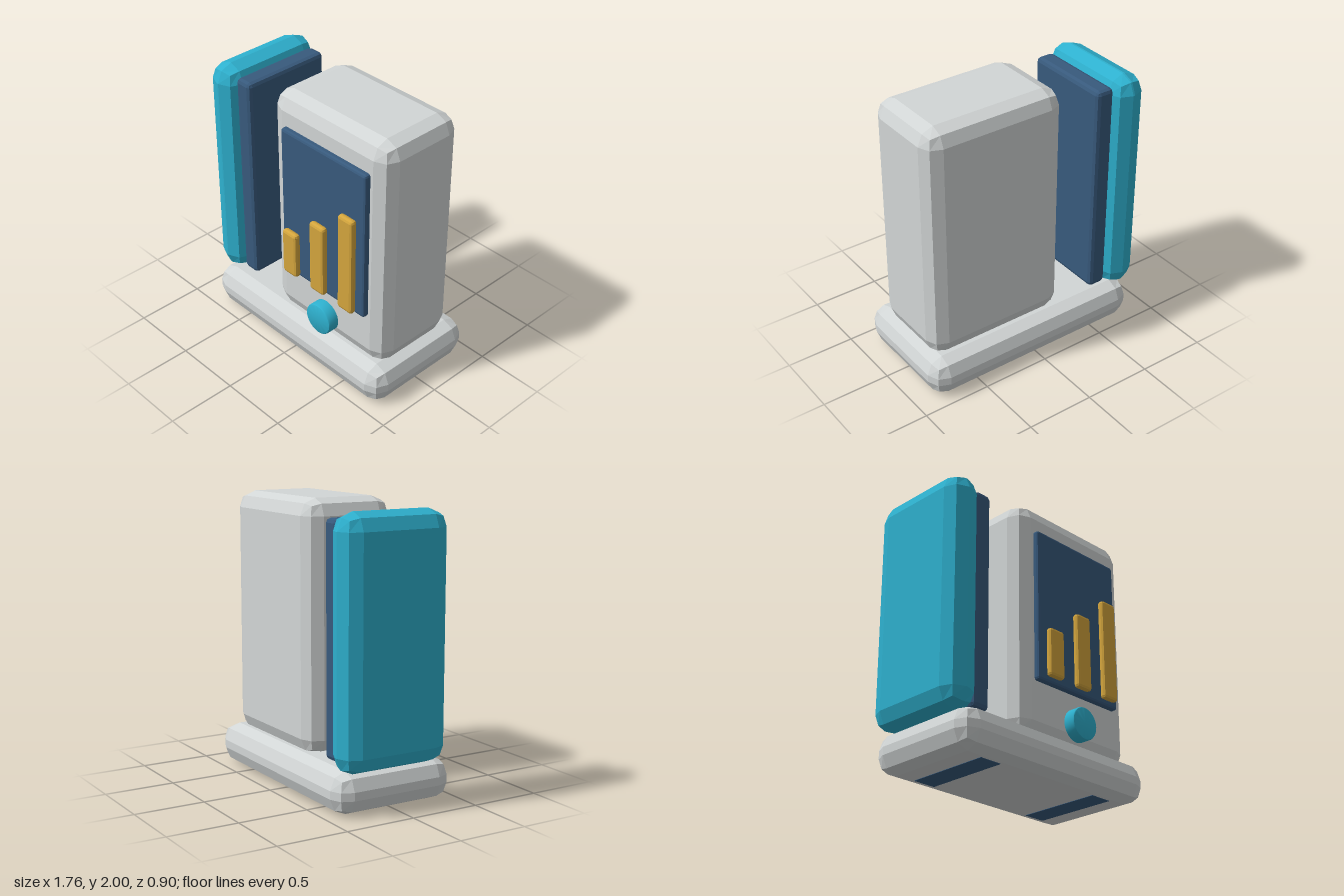
import * as THREE from 'three';
import { RoundedBoxGeometry } from 'three/addons/geometries/RoundedBoxGeometry.js';
import { toCreasedNormals } from 'three/addons/utils/BufferGeometryUtils.js';

function material(name, color) {
  const m = new THREE.MeshStandardMaterial({ color });
  m.name = name;
  return m;
}

export function createModel() {
  const grey = material('light grey', 0xd2d6d6);
  const cyan = material('cyan', 0x2eb1cf);
  const navy = material('navy', 0x385a7d);
  const gold = material('gold', 0xd5a63d);

  const model = new THREE.Group();
  model.name = 'displayTerminal';

  // Faceted box with a two-step bevel, given by its extents on each axis
  function block(name, mat, [x0, x1], [y0, y1], [z0, z1], bevel, parent = model) {
    const geo = new RoundedBoxGeometry(x1 - x0, y1 - y0, z1 - z0, 1, bevel);
    geo.computeVertexNormals(); // unshared corners give flat facets
    const mesh = new THREE.Mesh(geo, mat);
    mesh.name = name;
    mesh.position.set((x0 + x1) / 2, (y0 + y1) / 2, (z0 + z1) / 2);
    parent.add(mesh);
    return mesh;
  }

  // Base and cabinet
  block('base', grey, [-0.825, 0.875], [0.003, 0.29], [-0.45, 0.447], 0.115);
  block('cabinet', grey, [-0.26, 0.807], [0.255, 2], [-0.335, 0.335], 0.115);

  // Side panel with its inner slab
  block('sidePanel', cyan, [-0.884, -0.63], [0.28, 1.96], [-0.434, 0.373], 0.12);
  block('sideSlab', navy, [-0.64, -0.502], [0.328, 1.905], [-0.365, 0.308], 0.03);

  // Screen with a rising bar chart floating just in front
  block('screen', navy, [-0.117, 0.67], [0.655, 1.78], [0.31, 0.376], 0.018);
  const chart = new THREE.Group();
  chart.name = 'barChart';
  model.add(chart);
  [1.033, 1.232, 1.43].forEach((top, i) => {
    const x = 0.007 + i * 0.269;
    block('chartBar', gold, [x - 0.068, x + 0.068], [0.682, top], [0.386, 0.437], 0.02, chart);
  });

  // Round button with a slightly softened rim
  const profile = [[0, 0], [0.116, 0], [0.116, 0.073], [0.112, 0.081], [0.104, 0.085], [0, 0.085]]
    .map(([r, y]) => new THREE.Vector2(r, y));
  const button = new THREE.Mesh(toCreasedNormals(new THREE.LatheGeometry(profile, 32), 0.5), cyan);
  button.name = 'button';
  button.rotation.x = Math.PI / 2;
  button.position.set(0.276, 0.435, 0.34);
  model.add(button);

  // Thin foot pads under the base
  for (const side of [-1, 1]) {
    const pad = new THREE.Mesh(new THREE.BoxGeometry(0.17, 0.006, 0.62), navy);
    pad.name = 'footPad';
    pad.position.set(0.025 + side * 0.515, 0.003, 0);
    model.add(pad);
  }

  return model;
}
